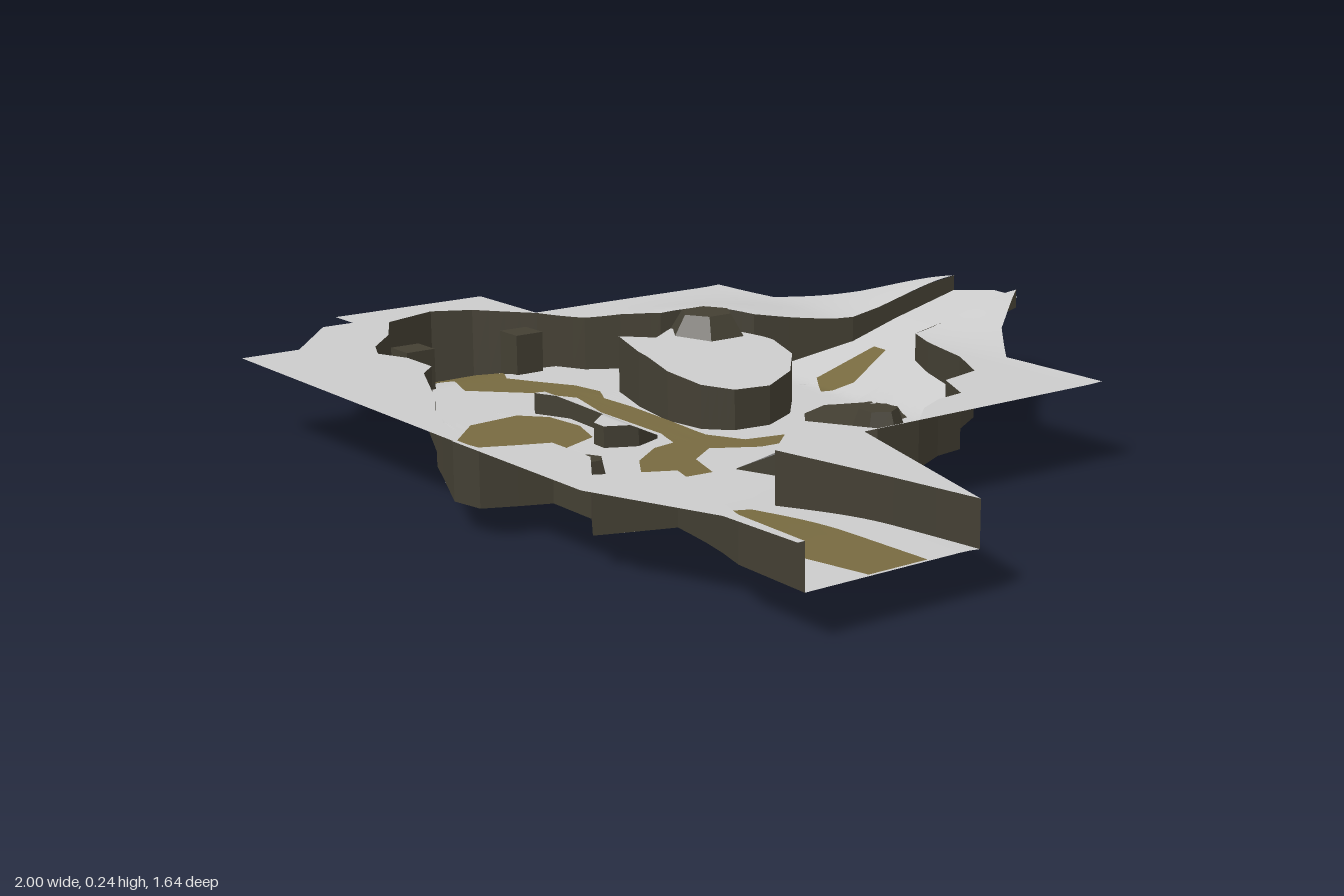
import * as THREE from 'three';
import { mergeVertices } from 'three/addons/utils/BufferGeometryUtils.js';

const material = (color, flatShading = false) =>
  new THREE.MeshStandardMaterial({ color, flatShading, side: THREE.DoubleSide });
const GREY = material(0xcccccc), DARK = material(0x433f33, true), BROWN = material(0x776a40);

const { smoothstep, lerp } = THREE.MathUtils;

// Piecewise linear height along one axis, from [position, height] pairs
function ramp(t, keys) {
  if (t <= keys[0][0]) return keys[0][1];
  for (let i = 1; i < keys.length; i++) {
    const [a, ya] = keys[i - 1], [b, yb] = keys[i];
    if (t <= b) return lerp(ya, yb, (t - a) / (b - a));
  }
  return keys[keys.length - 1][1];
}

// Cave floor: climbs to the north exit and the east passage, sinks to the west exit
const floorY = (x, z) => {
  const north = ramp(z, [[-0.83, 0.22], [-0.6, 0.165], [-0.46, 0.125], [-0.28, 0.07]]) - 0.07;
  const side = ramp(x, [[-0.94, 0], [-0.86, 0.025], [-0.7, 0.062], [-0.35, 0.075], [0, 0.065], [0.3, 0.065]]);
  const east = 0.03 * smoothstep(x, 0.35, 0.8) * smoothstep(z, 0.1, 0.35);
  return side + east + north;
};

// Upper ground: low hill to the north-west and a rise around the north exit
const groundY = (x, z) => {
  const hill = 0.035 * Math.exp(-((x + 0.42) ** 2) / 0.03 - ((z + 0.16) ** 2) / 0.05);
  const rise = 0.065 * smoothstep(-z, 0.42, 0.8) * (1 - 0.5 * smoothstep(Math.abs(x + 0.14), 0.1, 0.4));
  return 0.182 + hill + rise;
};
const islandY = (x) => ramp(x, [[-0.36, 0.2], [-0.2, 0.19], [0.04, 0.15]]);
const ledgeY = (x, z) => floorY(x, z) + ramp(z, [[0.24, 0.002], [0.33, 0.045]]);

// Flat outline of [x, z] points, split into small triangles and draped over a height rule
function drape(name, points, height, mat, levels = 3, holes = []) {
  const path = (pts) => pts.map(([x, z]) => new THREE.Vector2(x, -z));
  const shape = new THREE.Shape(path(points));
  shape.holes = holes.map((h) => new THREE.Path(path(h)));
  const flat = new THREE.ShapeGeometry(shape).toNonIndexed().attributes.position;
  let verts = [];
  for (let i = 0; i < flat.count; i++) verts.push(new THREE.Vector2().fromBufferAttribute(flat, i));
  for (let l = 0; l < levels; l++) {
    const next = [];
    for (let i = 0; i < verts.length; i += 3) {
      const [a, b, c] = verts.slice(i, i + 3);
      const mid = (p, q) => p.clone().add(q).multiplyScalar(0.5);
      const ab = mid(a, b), bc = mid(b, c), ca = mid(c, a);
      next.push(a, ab, ca, ab, b, bc, ca, bc, c, ab, bc, ca);
    }
    verts = next;
  }
  const out = verts.flatMap((v) => [v.x, height(v.x, -v.y), -v.y]);
  let geo = new THREE.BufferGeometry();
  geo.setAttribute('position', new THREE.Float32BufferAttribute(out, 3));
  geo = mergeVertices(geo, 1e-5);
  geo.computeVertexNormals();
  const mesh = new THREE.Mesh(geo, mat);
  mesh.name = name;
  return mesh;
}

// Upright wall strip along a line of [x, z] points, between two height rules
function wall(name, points, low, high, steps = 4) {
  const pos = [], index = [];
  points.forEach(([x, z], i) => {
    const [nx, nz] = points[i + 1] ?? [x, z];
    for (let s = 0; s < (i + 1 < points.length ? steps : 1); s++) {
      const px = lerp(x, nx, s / steps), pz = lerp(z, nz, s / steps);
      pos.push(px, low(px, pz), pz, px, high(px, pz), pz);
    }
  });
  for (let i = 0; i < pos.length / 3 - 2; i += 2) index.push(i, i + 2, i + 1, i + 1, i + 2, i + 3);
  const geo = new THREE.BufferGeometry();
  geo.setAttribute('position', new THREE.Float32BufferAttribute(pos, 3));
  geo.setIndex(index);
  geo.computeVertexNormals();
  const mesh = new THREE.Mesh(geo, DARK);
  mesh.name = name;
  return mesh;
}

// Foot lines of the three cave walls
const westLine = [[-0.245, -0.785], [-0.245, -0.47], [-0.305, -0.33], [-0.34, -0.255], [-0.43, -0.19],
  [-0.46, -0.08], [-0.57, -0.045], [-0.62, 0.02], [-0.75, 0.066], [-0.875, 0.165], [-0.92, 0.25],
  [-0.875, 0.385], [-0.755, 0.455], [-0.67, 0.535], [-0.605, 0.565], [-0.53, 0.535], [-0.43, 0.535],
  [-0.385, 0.58], [-0.175, 0.675], [-0.1, 0.72], [-0.025, 0.75], [0.12, 0.813]];
const southLine = [[0.12, 0.813], [0.19, 0.8], [0.22, 0.735], [0.245, 0.675], [0.37, 0.675],
  [0.47, 0.74], [0.54, 0.605], [0.82, 0.685], [1, 0.69]];
const eastLine = [[1, 0.305], [0.81, 0.335], [0.54, 0.385], [0.45, 0.285], [0.385, 0.222], [0.538, 0.135],
  [0.538, 0.03], [0.475, -0.04], [0.44, -0.11], [0.43, -0.18], [0.33, -0.23], [0.305, -0.335],
  [0.19, -0.4], [0.045, -0.44], [-0.03, -0.47], [-0.03, -0.78]];
const northTip = [[-0.08, -0.83], [-0.155, -0.83]];

// Outer edges of the upper ground, each closing one wall line
const westEdge = [[-0.745, 0.815], [-0.745, 0.68], [-0.92, 0.53], [-0.92, 0.455], [-1, 0.455], [-1, 0.065],
  [-0.755, 0.065], [-0.755, -0.47], [-0.54, -0.47], [-0.385, -0.615]];
const southEdge = [[1, 0.705], [0.81, 0.71], [0.54, 0.81], [0.12, 0.815]];
const eastEdge = [[0.11, -0.6], [0.26, -0.47], [0.54, -0.47], [0.54, 0.17]];

const island = [[-0.355, -0.03], [-0.26, -0.15], [-0.175, -0.18], [-0.09, -0.165], [-0.01, -0.095],
  [0.04, 0], [0.03, 0.085], [-0.02, 0.135], [-0.11, 0.155], [-0.235, 0.14], [-0.36, 0.105], [-0.31, 0.04]];
const ledge = [[-0.315, 0.245], [-0.315, 0.355], [-0.24, 0.315], [-0.11, 0.315], [-0.055, 0.38],
  [-0.02, 0.38], [0.01, 0.315], [-0.015, 0.25]];

// Painted ground areas
const track = [[-0.875, 0.17], [-0.74, 0.17], [-0.65, 0.215], [-0.57, 0.185], [-0.475, 0.145], [-0.385, 0.14],
  [-0.325, 0.17], [-0.235, 0.16], [-0.1, 0.158], [0.03, 0.16], [0.11, 0.12], [0.13, 0.03], [0.18, 0.06],
  [0.175, 0.13], [0.12, 0.22], [0.17, 0.29], [0.265, 0.32], [0.26, 0.385], [0.18, 0.43], [0.11, 0.385],
  [0.05, 0.305], [0.04, 0.25], [-0.03, 0.23], [-0.235, 0.24], [-0.365, 0.215], [-0.475, 0.26],
  [-0.6, 0.355], [-0.74, 0.305], [-0.89, 0.315], [-0.92, 0.24]];
const clearing = [[-0.265, 0.35], [-0.175, 0.335], [-0.09, 0.36], [-0.05, 0.46], [-0.09, 0.59],
  [-0.225, 0.6], [-0.305, 0.52], [-0.315, 0.4]];
const northPatch = [[-0.17, -0.47], [-0.13, -0.47], [-0.075, -0.33], [-0.1, -0.255], [-0.175, -0.305]];
const eastTrack = [[0.515, 0.475], [0.54, 0.44], [0.81, 0.43], [1, 0.425], [1, 0.555], [0.81, 0.595], [0.54, 0.525]];
const northPool = [[0.03, -0.285], [0.11, -0.295], [0.18, -0.26], [0.2, -0.17], [0.18, -0.08], [0.11, -0.04],
  [0.02, -0.11], [-0.01, -0.19]];
const southPool = [[0.255, 0.51], [0.325, 0.455], [0.42, 0.46], [0.465, 0.53], [0.42, 0.62], [0.325, 0.64], [0.25, 0.58]];

// Low wedge that dwindles from a wall end down to the floor
function spur(name, line, inner) {
  const [tip, , end] = line;
  const fall = (x, z) => floorY(x, z) + 0.002
    + 0.09 * Math.min(1, Math.hypot(x - tip[0], z - tip[1]) / Math.hypot(end[0] - tip[0], end[1] - tip[1]));
  const group = new THREE.Group();
  group.name = name;
  group.add(drape(name + 'Top', [...line, inner], fall, GREY, 2), wall(name + 'Side', line, floorY, fall));
  return group;
}

export function createModel() {
  const model = new THREE.Group();
  const add = (...parts) => model.add(...parts);

  // Floor and surrounding ground
  add(drape('caveFloor', [...westLine, ...southLine.slice(1), ...eastLine, ...northTip], floorY, GREY, 4, [island, ledge]));
  add(drape('westGround', [...westLine, ...westEdge], groundY, GREY, 4));
  add(drape('southGround', [...southLine, ...southEdge], groundY, GREY, 3));
  add(drape('eastGround', [...eastLine, ...eastEdge], groundY, GREY, 4));

  // Cave walls
  add(wall('westWall', westLine, floorY, groundY), wall('southWall', southLine, floorY, groundY),
    wall('eastWall', eastLine, floorY, groundY));

  // Raised island, sloping ledge and spurs
  add(drape('islandTop', island, islandY, GREY), wall('islandWall', [...island, island[0]], floorY, islandY));
  add(drape('ledgeTop', ledge, ledgeY, GREY), wall('ledgeWall', [...ledge, ledge[0]], floorY, ledgeY));
  add(spur('eastSpur', [[0.27, 0.265], [0.385, 0.222], [0.45, 0.19]], [0.44, 0.275]));
  add(spur('southSpur', [[0.06, 0.54], [0.175, 0.65], [0.22, 0.735]], [0.17, 0.8]));

  // Brown tracks and dark pools
  const above = (x, z) => floorY(x, z) + 0.003;
  add(drape('track', track, above, BROWN), drape('clearing', clearing, above, BROWN),
    drape('northPatch', northPatch, above, BROWN), drape('eastTrack', eastTrack, above, BROWN));
  add(drape('northPool', northPool, above, DARK), drape('southPool', southPool, above, DARK));

  // Boulders: [x, z, base y, radius, height]
  [[-0.3, -0.09, 0.19, 0.09, 0.05], [0.265, -0.105, 0.065, 0.063, 0.065], [0.22, 0.58, 0.065, 0.045, 0.065]]
    .forEach(([x, z, y, r, h], i) => {
      const boulder = new THREE.Mesh(new THREE.CylinderGeometry(r * 0.65, r, h, 6), DARK);
      boulder.position.set(x, y + h / 2, z);
      boulder.rotation.y = i * 0.5;
      boulder.name = 'boulder';
      add(boulder);
    });

  // Posts either side of the west exit
  for (const z of [0.135, 0.42]) {
    const post = new THREE.Mesh(new THREE.BoxGeometry(0.07, 0.1, 0.07), DARK);
    post.position.set(-0.71, 0.105, z);
    post.name = 'post';
    add(post);
  }
  return model;
}
